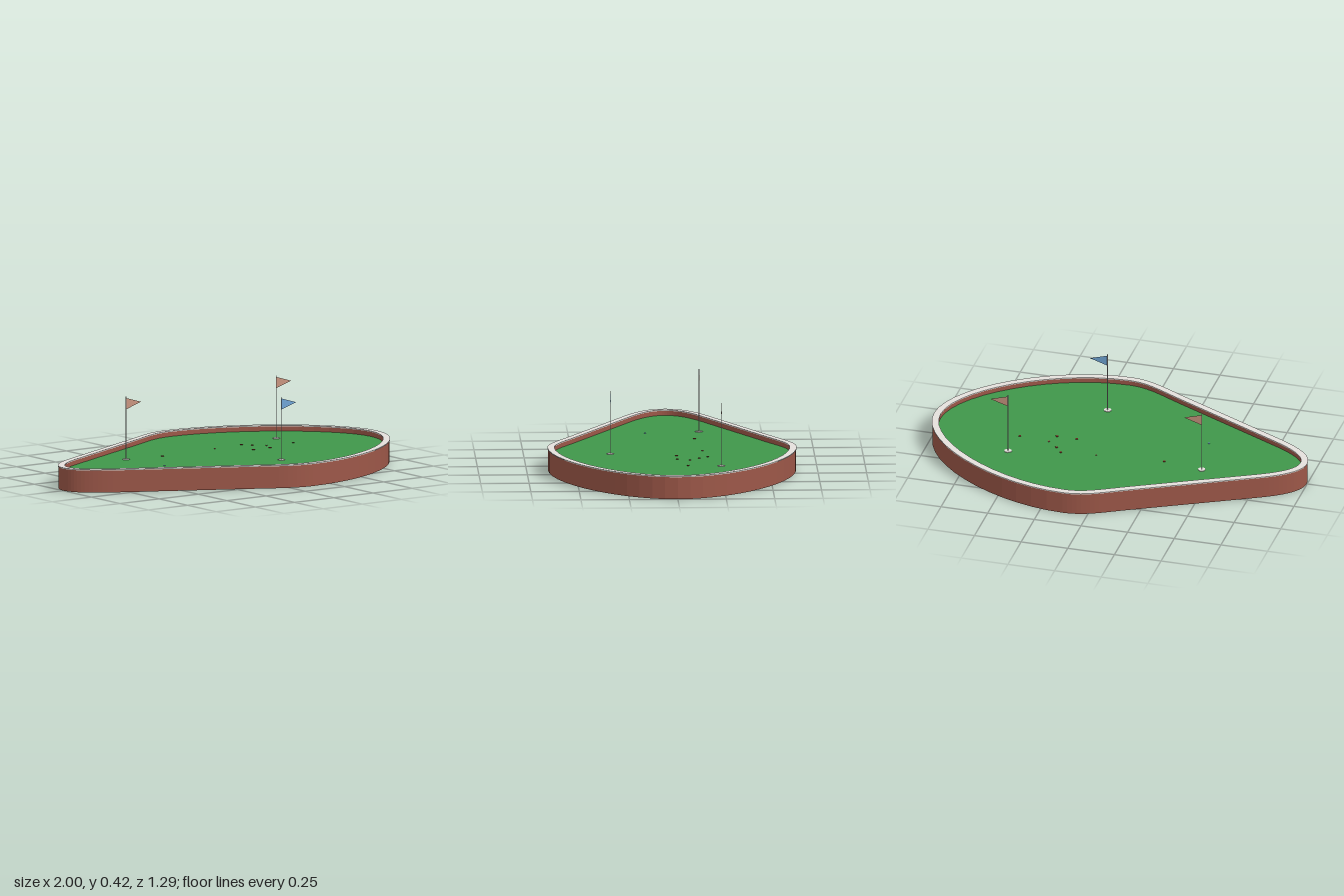
import * as THREE from 'three';

const mat = (name, color, side = THREE.FrontSide) => {
  const m = new THREE.MeshStandardMaterial({ color, side });
  m.name = name;
  return m;
};

// Closed teardrop outline, mirrored about the x axis
function outlinePoints() {
  const half = new THREE.Path();
  half.moveTo(-1, 0);
  half.bezierCurveTo(-1, 0.085, -0.92, 0.15, -0.8, 0.212);
  half.lineTo(-0.2, 0.517);
  half.bezierCurveTo(-0.07, 0.583, 0.01, 0.643, 0.13, 0.643);
  half.bezierCurveTo(0.53, 0.643, 1, 0.305, 1, 0);
  const pts = half.getPoints(14);
  const mirrored = pts.slice(1, -1).reverse().map(p => new THREE.Vector2(p.x, -p.y));
  return [...pts, ...mirrored].reverse(); // counter-clockwise
}

// Move each outline point inward along its local normal
function inset(pts, d) {
  const n = pts.length;
  return pts.map((p, i) => {
    const t = pts[(i + 1) % n].clone().sub(pts[(i + n - 1) % n]).normalize();
    return new THREE.Vector2(p.x - t.y * d, p.y + t.x * d);
  });
}

// Horizontal slab between two heights, optionally with a hole
function slab(outer, inner, y0, y1) {
  const shape = new THREE.Shape(outer);
  if (inner) shape.holes.push(new THREE.Path(inner));
  const geo = new THREE.ExtrudeGeometry(shape, { depth: y1 - y0, bevelEnabled: false });
  return geo.rotateX(-Math.PI / 2).translate(0, y0, 0);
}

export function createModel() {
  const group = new THREE.Group();
  const brick = mat('brick red', 0x9c5748);
  const stone = mat('pale stone', 0xe4e0dc);
  const grass = mat('grass green', 0x40974a);
  const base = mat('base grey', 0xb4b1a8);
  const steel = mat('pole grey', 0xd2cecb);
  const tan = mat('flag tan', 0xc8957f, THREE.DoubleSide);
  const blue = mat('flag blue', 0x70a5d6, THREE.DoubleSide);
  const darkRed = mat('dark red', 0x7a2c20);

  const add = (name, geo, material, parent = group) => {
    const mesh = new THREE.Mesh(geo, material);
    mesh.name = name;
    parent.add(mesh);
  };

  // Curb, coping, putting surface and underside
  const outline = outlinePoints();
  const sign = THREE.ShapeUtils.isClockWise(outline) ? -1 : 1;
  const ring = d => inset(outline, d * sign);
  add('curbWall', slab(ring(0.003), ring(0.034), 0, 0.115), brick);
  add('curbCoping', slab(outline, ring(0.036), 0.115, 0.12), stone);
  add('green', slab(ring(0.033), null, 0.06, 0.091), grass);
  add('underside', slab(ring(0.033), null, 0.001, 0.03), base);

  // Flags standing in their cups
  const pennant = new THREE.ShapeGeometry(new THREE.Shape([
    new THREE.Vector2(0, 0.353), new THREE.Vector2(0.095, 0.383), new THREE.Vector2(0, 0.412),
  ]));
  for (const [x, z, colour] of [[-0.48, -0.16, tan], [0.16, 0.32, blue], [0.535, -0.24, tan]]) {
    const flag = new THREE.Group();
    flag.name = 'flagstick';
    flag.position.set(x, 0, z);
    add('cup', new THREE.CylinderGeometry(0.02, 0.02, 0.006, 8).translate(0, 0.091, 0), stone, flag);
    add('pole', new THREE.CylinderGeometry(0.0022, 0.0022, 0.33, 6).translate(0, 0.255, 0), steel, flag);
    add('pennant', pennant, colour, flag);
    group.add(flag);
  }

  // Tiny markers scattered on the grass
  const markers = [
    [-0.27, -0.13, darkRed], [0.27, -0.18, darkRed], [0.305, -0.135, darkRed],
    [0.23, -0.02, darkRed], [0.335, -0.02, darkRed], [0.52, -0.07, darkRed],
    [0.085, -0.16, brick], [0.36, -0.085, brick], [-0.44, 0.12, blue],
  ];
  for (const [x, z, m] of markers) {
    const r = m === darkRed ? 0.007 : 0.005;
    add('marker', new THREE.CylinderGeometry(r, r, 0.004, 8).translate(x, 0.092, z), m);
  }
  return group;
}
